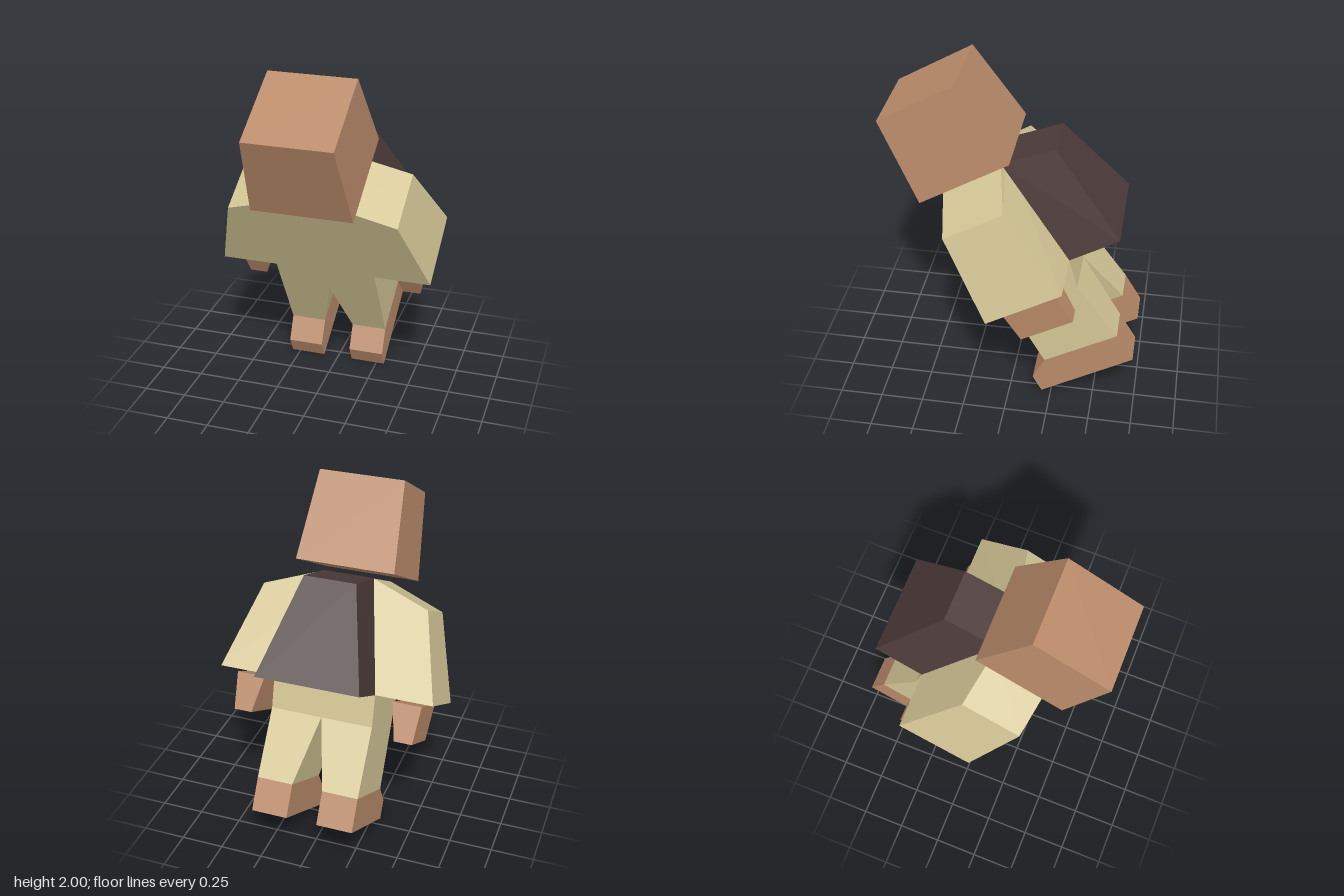
import * as THREE from 'three';

const mat = (name, color) => {
  const m = new THREE.MeshStandardMaterial({ color });
  m.name = name;
  return m;
};

// Flat-shaded geometry from convex polygons (counter-clockwise from outside)
function fromPolygons(polygons) {
  const pos = [];
  for (const p of polygons) {
    for (let i = 1; i < p.length - 1; i++) pos.push(...p[0], ...p[i], ...p[i + 1]);
  }
  const g = new THREE.BufferGeometry();
  g.setAttribute('position', new THREE.Float32BufferAttribute(pos, 3));
  g.computeVertexNormals();
  return g;
}

// Tapered block: side profile of [z, y, xRight, xLeft], counter-clockwise seen from +x
function block(profile) {
  const left = profile.map(([z, y, , x]) => [x, y, z]);
  const right = profile.map(([z, y, x]) => [x, y, z]);
  const walls = profile.map((_, i) => {
    const j = (i + 1) % profile.length;
    return [left[i], right[i], right[j], left[j]];
  });
  return fromPolygons([left, [...right].reverse(), ...walls]);
}

// Same block for a limb on either side: s = 1 left, s = -1 right
const limb = (profile, s) =>
  block(profile.map(([z, y, a, b]) => (s > 0 ? [z, y, a, b] : [z, y, -b, -a])));

// Leaning one-piece suit: half outline with matching front and back points, mirrored
function suitGeometry() {
  const neck = [[0.40, 1.30], [0.07, 1.485]];
  const waist = [[0.08, 0.745], [-0.34, 0.99]];
  const seam = [[-0.015, 0.58], [-0.39, 0.805]];
  const ankle = [[-0.21, 0.24], [-0.63, 0.48]];
  const outline = [
    [0, neck], [0.15, neck],
    [0.49, [[0.335, 1.19], [0.0, 1.38]]], // shoulder
    [0.63, waist], [0.30, waist], // sleeve end
    [0.30, seam], [0.30, ankle], [0.09, ankle],
    [0, seam], // crotch
    [0, waist],
  ];
  const front = outline.map(([x, [[z, y]]]) => [x, y, z]);
  const back = outline.map(([x, [, [z, y]]]) => [x, y, z]);
  const half = [];
  // jacket, hips and leg panels
  for (const panel of [[0, 1, 2, 3, 4, 9], [9, 4, 5, 8], [8, 5, 6, 7]]) {
    half.push(panel.map((i) => front[i]).reverse(), panel.map((i) => back[i]));
  }
  // edge walls from collar around to crotch
  for (let i = 0; i < 8; i++) half.push([front[i], front[i + 1], back[i + 1], back[i]]);
  const mirrored = half.map((p) => p.map(([x, y, z]) => [-x, y, z]).reverse());
  return fromPolygons([...half, ...mirrored]);
}

export function createModel() {
  const skin = mat('skin', 0xb98a69);
  const khaki = mat('khaki cloth', 0xd3c595);
  const dark = mat('dark pack', 0x4d3a3a);
  const model = new THREE.Group();
  model.name = 'figure';

  const add = (name, geometry, material) => {
    const mesh = new THREE.Mesh(geometry, material);
    mesh.name = name;
    model.add(mesh);
  };

  add('suit', suitGeometry(), khaki);

  add('head', block([
    [0.73, 1.75, -0.25, 0.25], [0.505, 1.275, -0.29, 0.29],
    [0.0, 1.57, -0.29, 0.29], [0.295, 2.0, -0.25, 0.25],
  ]), skin);

  add('backpack', block([
    [0.07, 1.488, -0.15, 0.15], [-0.34, 0.99, -0.30, 0.30],
    [-0.615, 1.15, -0.30, 0.30], [-0.235, 1.605, -0.15, 0.15],
  ]), dark);

  // hands and feet
  const hand = [
    [0.005, 0.765, 0.385, 0.553], [-0.105, 0.58, 0.43, 0.535],
    [-0.395, 0.745, 0.43, 0.535], [-0.285, 0.932, 0.385, 0.553],
  ];
  const foot = [
    [-0.21, 0.24, 0.09, 0.30], [-0.14, 0.10, 0.09, 0.30], [-0.195, 0.0, 0.09, 0.30],
    [-0.73, 0.315, 0.09, 0.30], [-0.63, 0.48, 0.09, 0.30],
  ];
  for (const [side, s] of [['left', 1], ['right', -1]]) {
    add(`${side}Hand`, limb(hand, s), skin);
    add(`${side}Foot`, limb(foot, s), skin);
  }
  return model;
}
